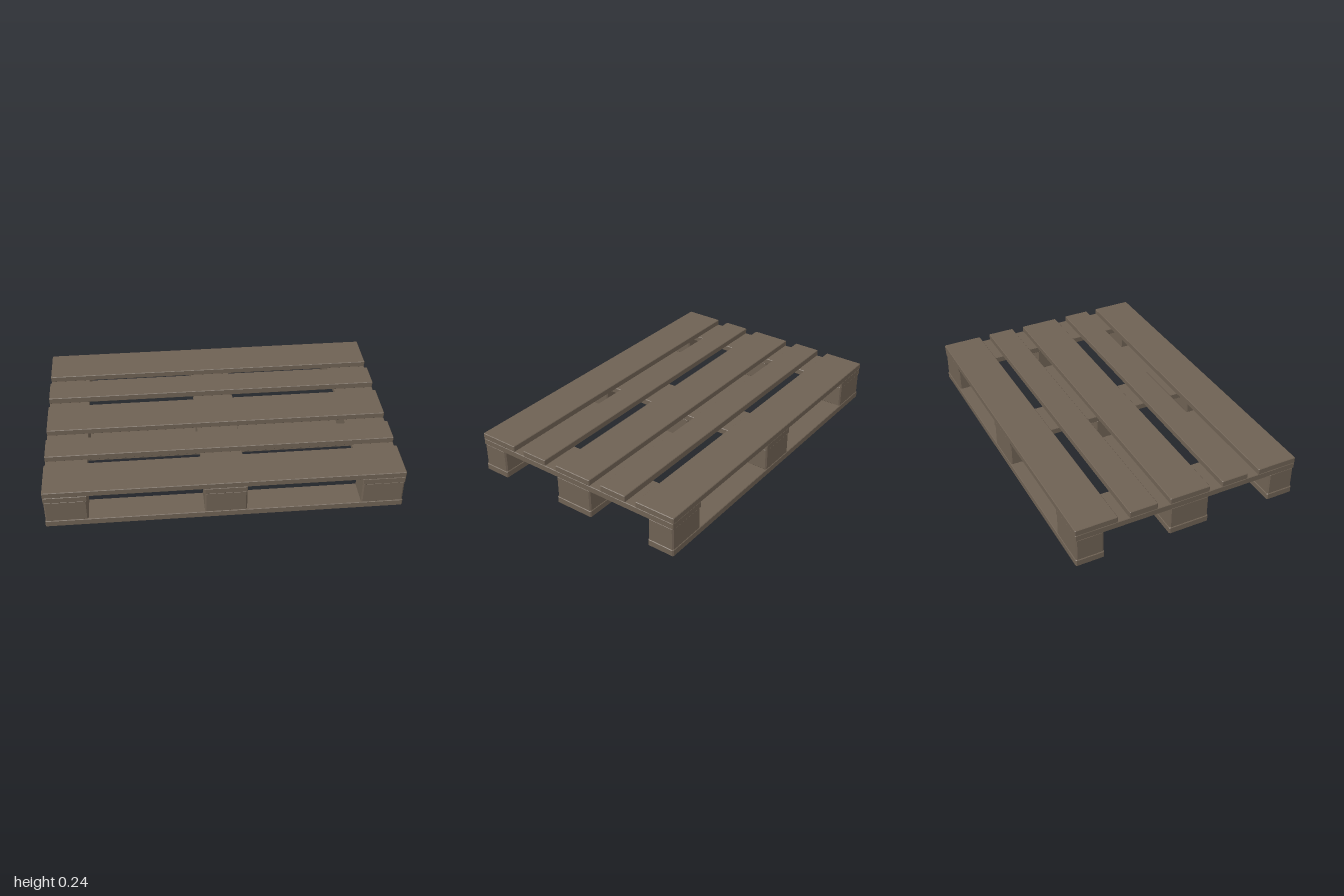
import * as THREE from 'three';

// Sawn timber: a box between two corners with slightly worn (chamfered) edges
function timber(name, [x0, x1], [y0, y1], [z0, z1], wear, material) {
  const w = x1 - x0, h = y1 - y0, d = z1 - z0;
  const a = w / 2, b = d / 2, c = wear;
  const bevel = 0.003;
  const outline = new THREE.Shape([
    [-a + c, -b], [a - c, -b], [a, -b + c], [a, b - c],
    [a - c, b], [-a + c, b], [-a, b - c], [-a, -b + c],
  ].map(([x, y]) => new THREE.Vector2(x, y)));
  const geometry = new THREE.ExtrudeGeometry(outline, {
    depth: h - 2 * bevel, bevelEnabled: true, bevelThickness: bevel,
    bevelSize: bevel, bevelOffset: -bevel, bevelSegments: 1,
  });
  geometry.translate(0, 0, bevel - h / 2);
  geometry.rotateX(-Math.PI / 2);
  const mesh = new THREE.Mesh(geometry, material);
  mesh.name = name;
  mesh.position.set((x0 + x1) / 2, (y0 + y1) / 2, (z0 + z1) / 2);
  return mesh;
}

export function createModel() {
  const pallet = new THREE.Group();
  pallet.name = 'pallet';
  const wood = new THREE.MeshStandardMaterial({ color: 0x6e6153 });
  wood.name = 'weathered wood';

  const length = [-0.996, 0.996];
  const columns = [[-0.995, -0.756], [-0.12, 0.119], [0.756, 0.995]];
  const rows = [[-0.662, -0.5], [-0.117, 0.121], [0.503, 0.664]];

  // Deck: wide and narrow boards alternating from back to front
  const deck = [[-0.665, -0.424], [-0.357, -0.193], [-0.118, 0.12], [0.196, 0.356], [0.425, 0.664]];
  deck.forEach((z, i) => {
    const top = i === 1 ? 0.247 : 0.244;
    pallet.add(timber('deckBoard', length, [0.208, top], z, 0.004, wood));
  });

  // Cross boards under the deck
  columns.forEach((x) => {
    pallet.add(timber('crossBoard', x, [0.172, 0.209], [-0.663, 0.664], 0.004, wood));
  });

  // Bottom runners and the blocks standing on them
  rows.forEach((z) => {
    pallet.add(timber('bottomRunner', length, [0.003, 0.042], z, 0.006, wood));
    columns.forEach((x) => {
      const inset = 0.002;
      pallet.add(timber('spacerBlock', [x[0] + inset, x[1] - inset], [0.041, 0.173],
        [z[0] + inset, z[1] - inset], 0.008, wood));
    });
  });

  return pallet;
}
